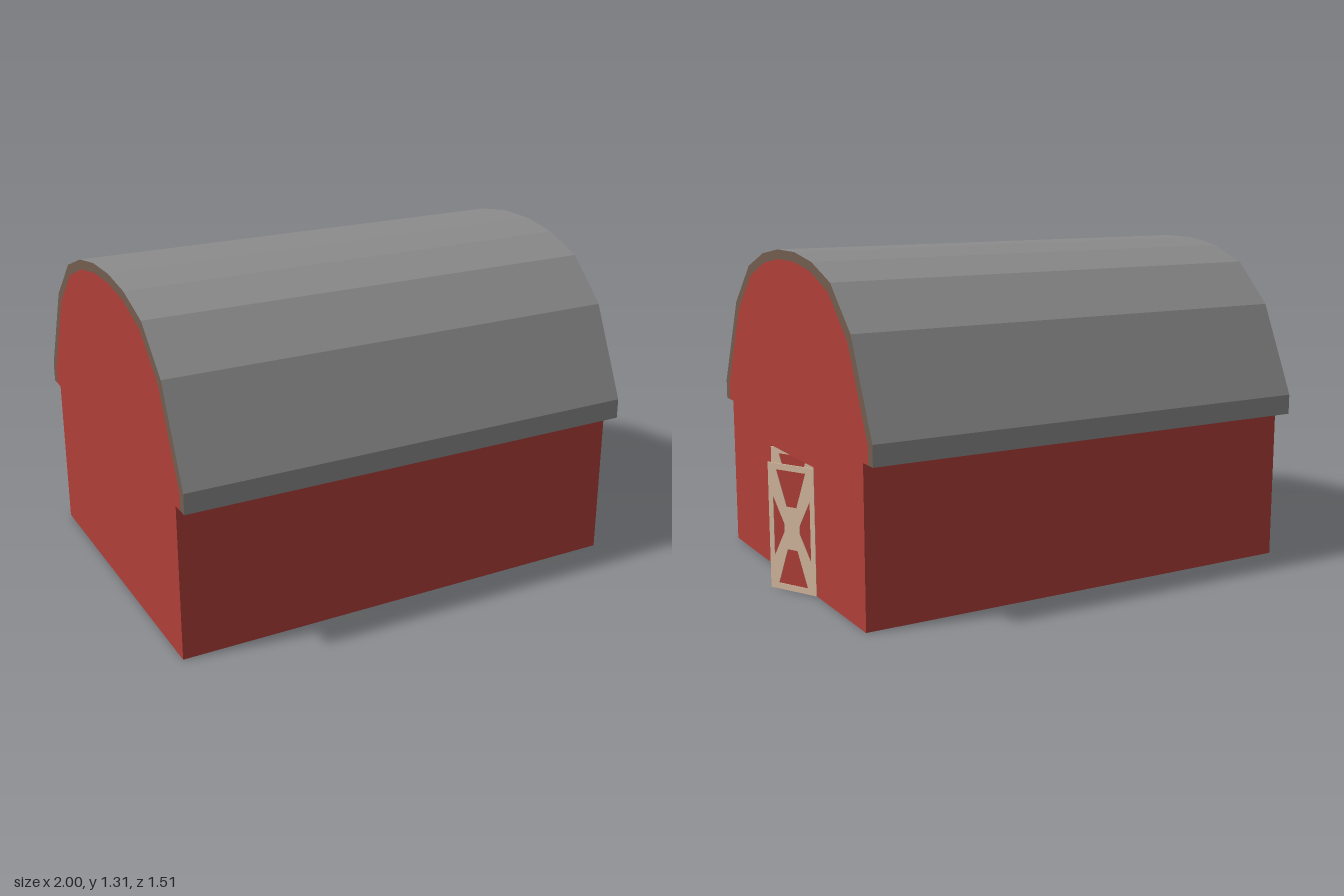
import * as THREE from 'three';

const mat = (name, color, side = THREE.FrontSide) => {
  const m = new THREE.MeshStandardMaterial({ color, side });
  m.name = name;
  return m;
};

const BACK = -1, FRONT = 0.89, LENGTH = FRONT - BACK;
const HALF = 0.675, EAVE = 0.62;
const DOOR_HALF = 0.225, DOOR_H = 0.505;

// Half profiles of the curved roof, from eave to crown: [across, up]
const outer = [[0.755, EAVE], [0.755, 0.7], [0.59, 1.06], [0.42, 1.225], [0.25, 1.287], [0.085, 1.312]];
const inner = [[0.717, EAVE], [0.717, 0.69], [0.56, 1.033], [0.4, 1.188], [0.24, 1.25], [0.08, 1.275]];

// Full arch from one eave over the crown to the other
const arch = half => [...half, ...half.map(([a, y]) => [-a, y]).reverse()];
const toVectors = pts => pts.map(([a, y]) => new THREE.Vector2(a, y));

export function createModel() {
  const model = new THREE.Group();
  const red = mat('barn red', 0xb03f39, THREE.DoubleSide);
  const grey = mat('roof grey', 0x8c8c8c);
  const brown = mat('roof edge brown', 0x725d4e);
  const tan = mat('door trim tan', 0xd6b99f);

  const add = (name, geometry, material, parent = model) => {
    const mesh = new THREE.Mesh(geometry, material);
    mesh.name = name;
    parent.add(mesh);
    return mesh;
  };

  // Roof shell, with brown end edges
  const band = new THREE.Shape(toVectors([...arch(outer), ...arch(inner).reverse()]));
  const roof = new THREE.ExtrudeGeometry(band, { depth: LENGTH, bevelEnabled: false });
  roof.rotateY(Math.PI / 2).translate(BACK, 0, 0);
  add('roof', roof, [brown, grey]);

  // Gable ends, the front one with a doorway
  const walls = [[-HALF, EAVE], [-HALF, 0]];
  const doorway = [[-DOOR_HALF, 0], [-DOOR_HALF, 0.51], [DOOR_HALF, 0.51], [DOOR_HALF, 0]];
  const gable = (name, x, notch) => {
    const outline = [...arch(inner), ...walls, ...notch, [HALF, 0], [HALF, EAVE]];
    const g = new THREE.ShapeGeometry(new THREE.Shape(toVectors(outline)));
    add(name, g.rotateY(Math.PI / 2).translate(x, 0, 0), red);
  };
  gable('doorGable', FRONT, doorway);
  gable('plainGable', BACK, []);

  // Side walls and eave undersides
  for (const s of [1, -1]) {
    const side = s > 0 ? 'left' : 'right';
    const wall = add(side + 'Wall', new THREE.PlaneGeometry(LENGTH, EAVE), red);
    wall.position.set((FRONT + BACK) / 2, EAVE / 2, s * HALF);
    if (s < 0) wall.rotation.y = Math.PI;
    const soffit = add(side + 'Soffit', new THREE.BoxGeometry(LENGTH - 0.004, 0.008, 0.045), grey);
    soffit.position.set((FRONT + BACK) / 2, EAVE + 0.004, s * 0.697);
  }

  // Floor
  const floor = add('floor', new THREE.PlaneGeometry(LENGTH, 2 * HALF), red);
  floor.rotation.x = Math.PI / 2;
  floor.position.x = (FRONT + BACK) / 2;

  // Door trim: a frame with a cross, cut out by four openings
  const W = 0.225, mid = DOOR_H / 2, T = 0.005;
  const trim = new THREE.Shape(toVectors([[0, 0], [W, 0], [W, DOOR_H], [0, DOOR_H]]));
  const cut = pts => trim.holes.push(new THREE.Path(toVectors(pts.map(([u, v]) => [W / 2 + u, mid + v]))));
  for (const s of [1, -1]) {
    cut([[-0.072, s * 0.228], [0.072, s * 0.228], [0.024, s * 0.085], [-0.024, s * 0.085]]);
    cut([[s * 0.09, 0.12], [s * 0.09, -0.12], [s * 0.037, -0.015], [s * 0.037, 0.015]]);
  }
  const trimGeometry = new THREE.ExtrudeGeometry(trim, { depth: T, bevelEnabled: false }).translate(0, 0, -T / 2);
  const panelGeometry = new THREE.PlaneGeometry(W, DOOR_H).translate(W / 2, mid, 0);

  // Two doors swung the same way: one into the barn, one out
  for (const s of [1, -1]) {
    const door = new THREE.Group();
    door.name = s > 0 ? 'inwardDoor' : 'outwardDoor';
    add('doorPanel', panelGeometry, red, door);
    add('doorTrim', trimGeometry, tan, door);
    door.position.set(FRONT, 0, s * DOOR_HALF);
    door.rotation.y = -1.068 + (s > 0 ? Math.PI : 0);
    model.add(door);
  }
  return model;
}
